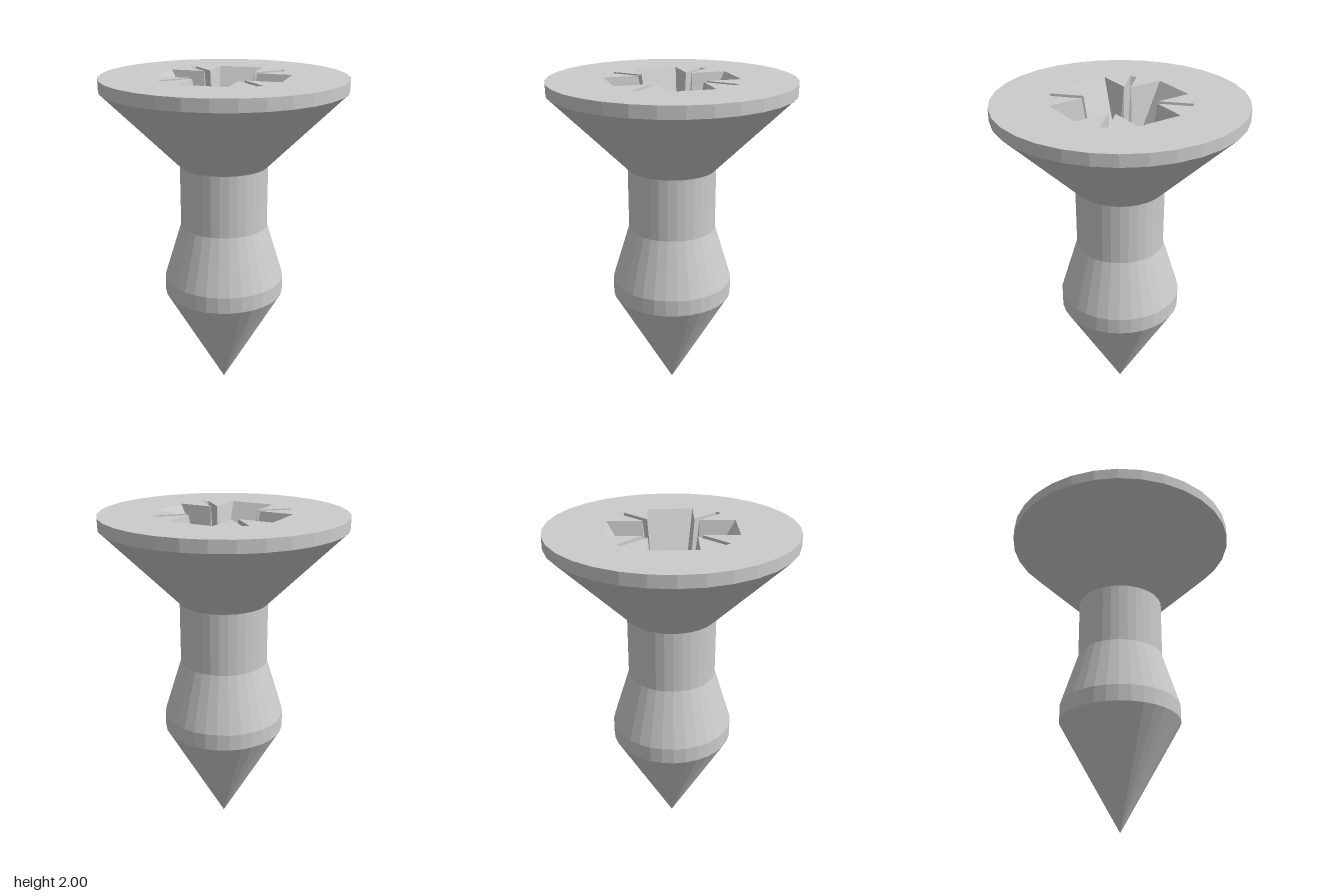
import * as THREE from 'three';

const SIDES = 32;
const HEAD_RADIUS = 0.72;
const TOP = 2;
const RECESS_DEPTH = 0.32;
const CORE_RADIUS = 0.16;

const v2 = (x, y) => new THREE.Vector2(x, y);

// Outline of a four-armed cross with narrow diagonal slots between the arms
function crossOutline({ reach, half, chamfer, slotReach, slotHalf }) {
  const mid = half + chamfer / 2;
  const inner = slotHalf * Math.SQRT1_2;
  const end = slotReach * Math.SQRT1_2;
  const quarter = [
    [reach, half],
    [half + chamfer, half],
    [mid + inner, mid - inner],
    [end + inner, end - inner],
    [end - inner, end + inner],
    [mid - inner, mid + inner],
    [half, half + chamfer],
    [half, reach],
  ];
  const points = [];
  for (let q = 0; q < 4; q++) {
    for (const [x, y] of quarter) {
      points.push(v2(x, y).rotateAround(v2(0, 0), (q * Math.PI) / 2));
    }
  }
  return points;
}

function circle(radius) {
  return Array.from({ length: SIDES }, (_, i) => {
    const a = (i / SIDES) * Math.PI * 2;
    return v2(radius * Math.cos(a), radius * Math.sin(a));
  });
}

// Flat upward-facing plate with one hole
function plate(outline, hole, y) {
  const shape = new THREE.Shape(outline);
  shape.holes.push(new THREE.Path(hole));
  return new THREE.ShapeGeometry(shape).rotateX(-Math.PI / 2).translate(0, y, 0);
}

// Inward-facing walls joining the upper outline to the lower one
function recessWalls(upper, lower, yTop, yBottom) {
  const positions = [];
  const put = (p, y) => positions.push(p.x, y, -p.y);
  for (let i = 0; i < upper.length; i++) {
    const j = (i + 1) % upper.length;
    put(lower[i], yBottom); put(upper[i], yTop); put(upper[j], yTop);
    put(lower[i], yBottom); put(upper[j], yTop); put(lower[j], yBottom);
  }
  const geometry = new THREE.BufferGeometry();
  geometry.setAttribute('position', new THREE.Float32BufferAttribute(positions, 3));
  geometry.computeVertexNormals();
  return geometry;
}

export function createModel() {
  const group = new THREE.Group();
  group.name = 'screw';
  const material = new THREE.MeshStandardMaterial({ color: 0xcccccc, flatShading: true });
  const add = (name, geometry) => {
    const mesh = new THREE.Mesh(geometry, material);
    mesh.name = name;
    group.add(mesh);
  };

  // Turned outer surfaces, from the point upwards
  const turned = {
    point: [[0, 0], [0.37, 0.66]],
    collar: [[0.37, 0.66], [0.37, 0.76], [0.265, 1.1]],
    shank: [[0.265, 1.1], [0.265, 1.475]],
    head: [[0.265, 1.475], [HEAD_RADIUS, 1.93], [HEAD_RADIUS, TOP]],
  };
  for (const [name, profile] of Object.entries(turned)) {
    add(name, new THREE.LatheGeometry(profile.map(([r, y]) => v2(r, y)), SIDES));
  }

  // Tapered driver recess in the head
  const upper = crossOutline({ reach: 0.37, half: 0.135, chamfer: 0.03, slotReach: 0.405, slotHalf: 0.019 });
  const lower = crossOutline({ reach: 0.185, half: 0.09, chamfer: 0.055, slotReach: 0.35, slotHalf: 0.01 });
  const floorY = TOP - RECESS_DEPTH;
  add('headTop', plate(circle(HEAD_RADIUS), upper, TOP));
  add('recessWalls', recessWalls(upper, lower, TOP, floorY));
  add('recessFloor', plate(lower, circle(CORE_RADIUS), floorY));

  // Shallow conical dimple at the bottom of the recess
  add('recessCone', new THREE.LatheGeometry([v2(CORE_RADIUS, floorY), v2(0, floorY - 0.06)], SIDES));

  return group;
}
